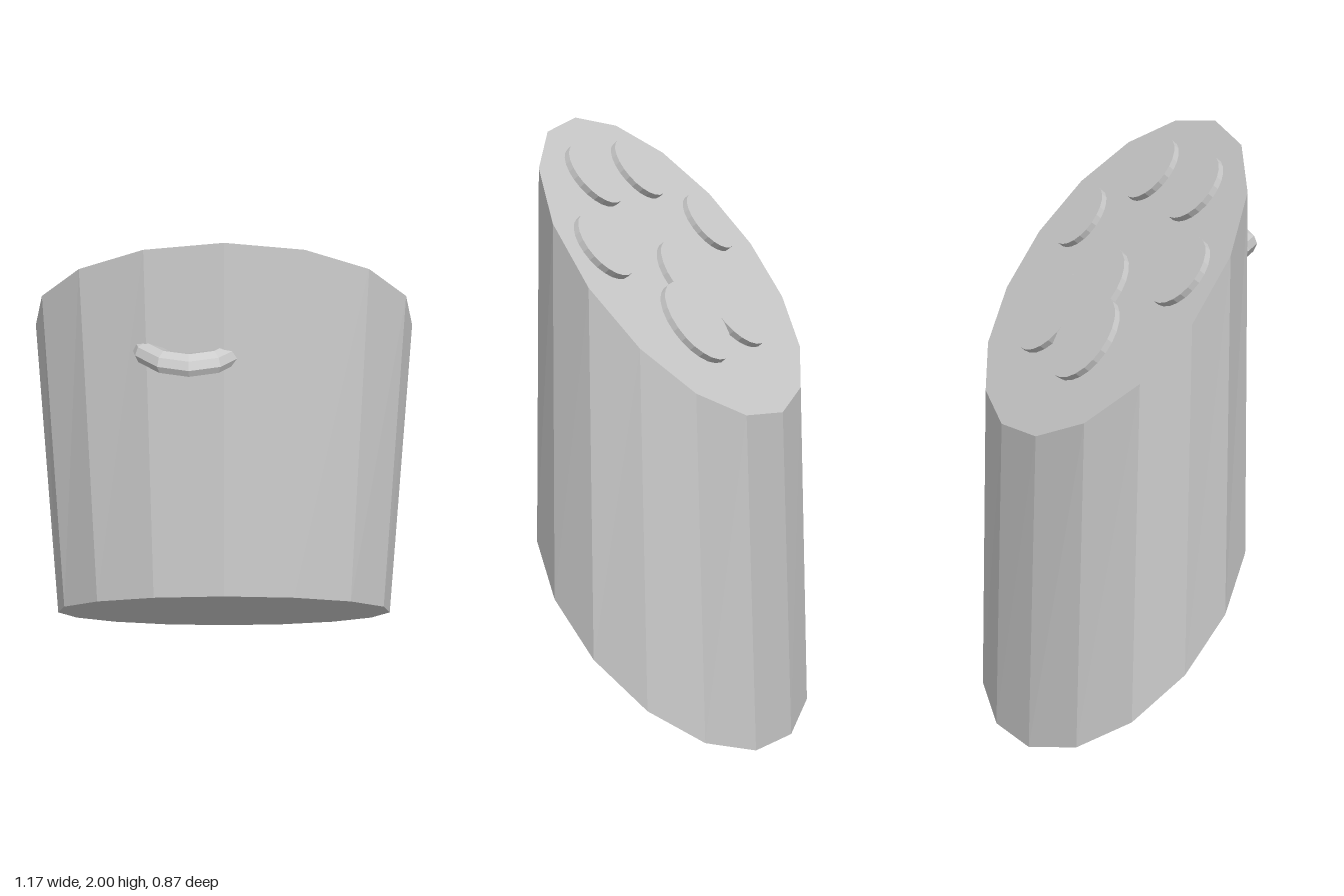
import * as THREE from 'three';

const RADIUS = 0.585;
const CENTRE_Z = -0.016;
const TOP = { y: 1.55, tilt: Math.atan2(0.9, 0.738) };
const BOTTOM = { y: 0.405, tilt: Math.atan2(0.81, 0.842) };

const material = new THREE.MeshStandardMaterial({ color: 0xcccccc, flatShading: true });

function addMesh(parent, name, geometry) {
  const mesh = new THREE.Mesh(geometry, material);
  mesh.name = name;
  parent.add(mesh);
  return mesh;
}

// Sixteen-sided column whose two end discs are each tilted by their own angle
function bodyGeometry() {
  const geometry = new THREE.CylinderGeometry(RADIUS, RADIUS, 2, 16, 1);
  const p = geometry.attributes.position;
  for (let i = 0; i < p.count; i++) {
    const end = p.getY(i) > 0 ? TOP : BOTTOM;
    const z = p.getZ(i);
    p.setY(i, end.y + z * Math.sin(end.tilt));
    p.setZ(i, CENTRE_Z + z * Math.cos(end.tilt));
  }
  geometry.computeVertexNormals();
  return geometry;
}

export function createModel() {
  const model = new THREE.Group();
  addMesh(model, 'body', bodyGeometry());

  // Raised paw print, laid out in the plane of the tilted top
  const paw = new THREE.Group();
  paw.name = 'pawPrint';
  paw.position.set(0, TOP.y, CENTRE_Z);
  paw.rotation.x = -TOP.tilt;
  model.add(paw);

  const addPad = (name, x, z, radius) => {
    const geometry = new THREE.CylinderGeometry(radius, radius, 0.04, 24);
    addMesh(paw, name, geometry).position.set(x, 0, z);
  };
  addPad('palmPadRight', -0.133, -0.21, 0.146);
  addPad('palmPadLeft', 0.156, -0.21, 0.146);
  addPad('palmPadFront', 0, -0.065, 0.146);
  for (const [side, s] of [['Left', 1], ['Right', -1]]) {
    addPad('outerToe' + side, s * 0.37, 0.113, 0.115);
    addPad('innerToe' + side, s * 0.15, 0.358, 0.115);
  }

  // Small loop handle, its ends sunk into the front
  const loop = new THREE.TorusGeometry(0.145, 0.035, 8, 6, Math.PI);
  loop.rotateX(Math.PI / 2);
  addMesh(model, 'loopHandle', loop).position.set(-0.1, 1.645, 0.257);

  return model;
}
